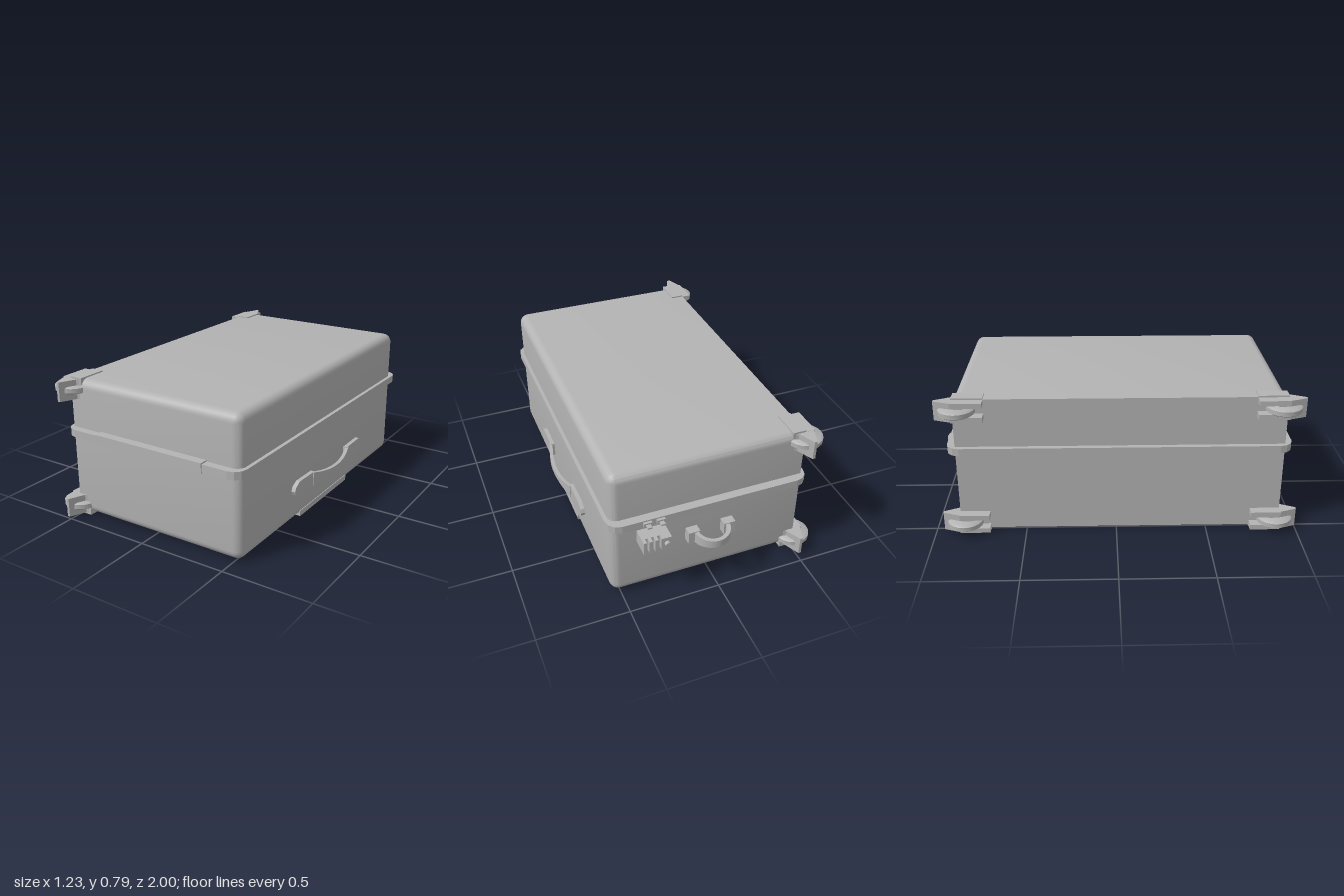
import * as THREE from 'three';
import { toCreasedNormals } from 'three/addons/utils/BufferGeometryUtils.js';
import { RoundedBoxGeometry } from 'three/addons/geometries/RoundedBoxGeometry.js';

export function createModel() {
  const root = new THREE.Group();
  root.name = 'suitcase';
  const grey = new THREE.MeshStandardMaterial({ color: 0xb3b3b3 });
  grey.name = 'grey shell';

  const add = (name, geometry, parent = root) => {
    const mesh = new THREE.Mesh(geometry, grey);
    mesh.name = name;
    parent.add(mesh);
    return mesh;
  };

  // Box given by its limits on each axis
  const box = (name, x0, x1, y0, y1, z0, z1, parent) =>
    add(name, new THREE.BoxGeometry(x1 - x0, y1 - y0, z1 - z0)
      .translate((x0 + x1) / 2, (y0 + y1) / 2, (z0 + z1) / 2), parent);

  // Upright prism from an [x, z] outline
  const prism = (name, outline, y0, y1, parent) => {
    const shape = new THREE.Shape(outline.map(([x, z]) => new THREE.Vector2(x, -z)));
    const g = new THREE.ExtrudeGeometry(shape, { depth: y1 - y0, bevelEnabled: false });
    return add(name, g.rotateX(-Math.PI / 2).translate(0, y0, 0), parent);
  };

  // Bent strap: a long box whose vertices follow a rule (t along, v across, w through)
  const strap = (name, segments, rule, parent) => {
    const g = new THREE.BoxGeometry(2, 2, 2, segments, 1, 1);
    const p = g.attributes.position;
    for (let i = 0; i < p.count; i++) p.setXYZ(i, ...rule(p.getX(i), p.getY(i), p.getZ(i)));
    return add(name, toCreasedNormals(g, 0.6), parent);
  };

  // Shell: rounded everywhere except the flat wheel end
  const shell = new RoundedBoxGeometry(1.165, 0.775, 1.77, 4, 0.05);
  shell.translate(-0.0325, 0.4025, 0.0225);
  const sp = shell.attributes.position;
  for (let i = 0; i < sp.count; i++) sp.setX(i, Math.max(sp.getX(i), -0.512));
  add('shell', toCreasedNormals(shell, 0.6));

  // Closing rim with faceted corners
  const rim = [];
  const corners = [[0.5, 0.88, 0], [-0.47, 0.88, 1], [-0.47, -0.84, 2], [0.5, -0.84, 3]];
  for (const [cx, cz, q] of corners) {
    for (let i = 0; i <= 3; i++) {
      const a = (q + i / 3) * Math.PI / 2;
      rim.push([cx + 0.07 * Math.cos(a), cz + 0.07 * Math.sin(a)]);
    }
  }
  prism('rim', rim, 0.475, 0.517);
  box('frontRimCover', -0.32, 0.355, 0.47, 0.524, 0.89, 0.956);

  // Wheel assemblies at the four corners of the flat end
  for (const sy of [1, -1]) {
    for (const sz of [1, -1]) {
      const caster = new THREE.Group();
      caster.name = (sy > 0 ? 'upper' : 'lower') + (sz > 0 ? 'Front' : 'Back') + 'Caster';
      root.add(caster);
      const Z = (d) => 0.0225 + sz * d;
      const Y = (d) => 0.4 + sy * d;
      const span = (f, a, b) => [Math.min(f(a), f(b)), Math.max(f(a), f(b))];

      const wing = [[-0.565, 0.82], [-0.56, 0.88], [-0.525, 0.977], [-0.51, 0.977],
        [-0.47, 0.89], [-0.44, 0.88], [-0.44, 0.85], [-0.51, 0.82]];
      prism('cornerWing', wing.map(([x, d]) => [x, Z(d)]), ...span(Y, 0.28, 0.387), caster);
      box('outerForkPlate', -0.565, -0.44, ...span(Y, 0.36, 0.388), ...span(Z, 0.72, 0.885), caster);
      box('innerForkPlate', -0.565, -0.5, ...span(Y, 0.28, 0.31), ...span(Z, 0.72, 0.885), caster);
      box('cornerPlate', -0.512, -0.44, ...span(Y, 0.38, 0.397), ...span(Z, 0.72, 0.885), caster);

      // Wheel with softened tread
      const tread = [[0, -0.02], [0.085, -0.02], [0.097, -0.012], [0.097, 0.012], [0.085, 0.02], [0, 0.02]]
        .map(([r, y]) => new THREE.Vector2(r, y));
      const wheel = add('wheel', toCreasedNormals(new THREE.LatheGeometry(tread, 20), 0.6), caster);
      wheel.position.set(-0.523, Y(0.335), Z(0.857));
    }
  }

  // Carrying handle on the long side
  const carry = new THREE.Group();
  carry.name = 'sideHandle';
  root.add(carry);
  strap('grip', 16, (t, v, w) => [
    0.567 + 0.036 * (1 - t * t) + 0.01 * w,
    0.206 + v * (0.016 + 0.024 * t * t),
    -t * 0.215], carry);
  for (const s of [1, -1]) {
    const pad = new THREE.Shape([[0.2, -0.04], [0.365, -0.044], [0.405, -0.022], [0.415, 0],
      [0.405, 0.022], [0.365, 0.044], [0.2, 0.04]].map(([z, y]) => new THREE.Vector2(-s * z, y)));
    const g = new THREE.ExtrudeGeometry(pad, { depth: 0.03, bevelEnabled: false });
    add('gripPad', g.rotateY(Math.PI / 2).translate(0.543, 0.206, 0), carry);
  }

  // Small looped handle on the back end
  const loop = new THREE.Group();
  loop.name = 'backHandle';
  root.add(loop);
  strap('loopGrip', 14, (t, v, w) => {
    const a = t * 1.45, r = 0.1 + 0.011 * (w - 1);
    return [0.01 - r * Math.sin(a), 0.312 + v * (0.022 + 0.01 * t * t), -0.9 - r * Math.cos(a)];
  }, loop);
  for (const s of [1, -1]) {
    const x = 0.01 + s * 0.1;
    box('loopPad', x - 0.032, x + 0.032, 0.272, 0.347, -0.91, -0.85, loop);
  }

  // Combination lock with dials and release knob
  const lock = new THREE.Group();
  lock.name = 'lock';
  root.add(lock);
  box('lockBase', 0.26, 0.41, 0.345, 0.42, -0.935, -0.85, lock);
  box('lockBlock', 0.26, 0.315, 0.345, 0.42, -0.965, -0.93, lock);
  for (let i = 0; i < 3; i++) {
    const x = 0.33 + i * 0.031;
    box('lockRib', x, x + 0.018, 0.345, 0.42, -0.965, -0.93, lock);
  }
  const knob = new THREE.CylinderGeometry(0.015, 0.015, 0.03, 12).rotateX(Math.PI / 2);
  add('releaseKnob', knob, lock).position.set(0.285, 0.385, -0.968);

  // Zip pulls on the rim above the lock
  for (const x of [0.3, 0.37]) {
    box('zipSlider', x - 0.022, x + 0.022, 0.485, 0.51, -0.925, -0.9);
    box('zipPull', x - 0.012, x + 0.012, 0.493, 0.502, -0.95, -0.92);
  }

  // Resting strip along the lower long edge
  box('restingStrip', 0.515, 0.55, 0.013, 0.045, -0.25, 0.31);

  return root;
}
